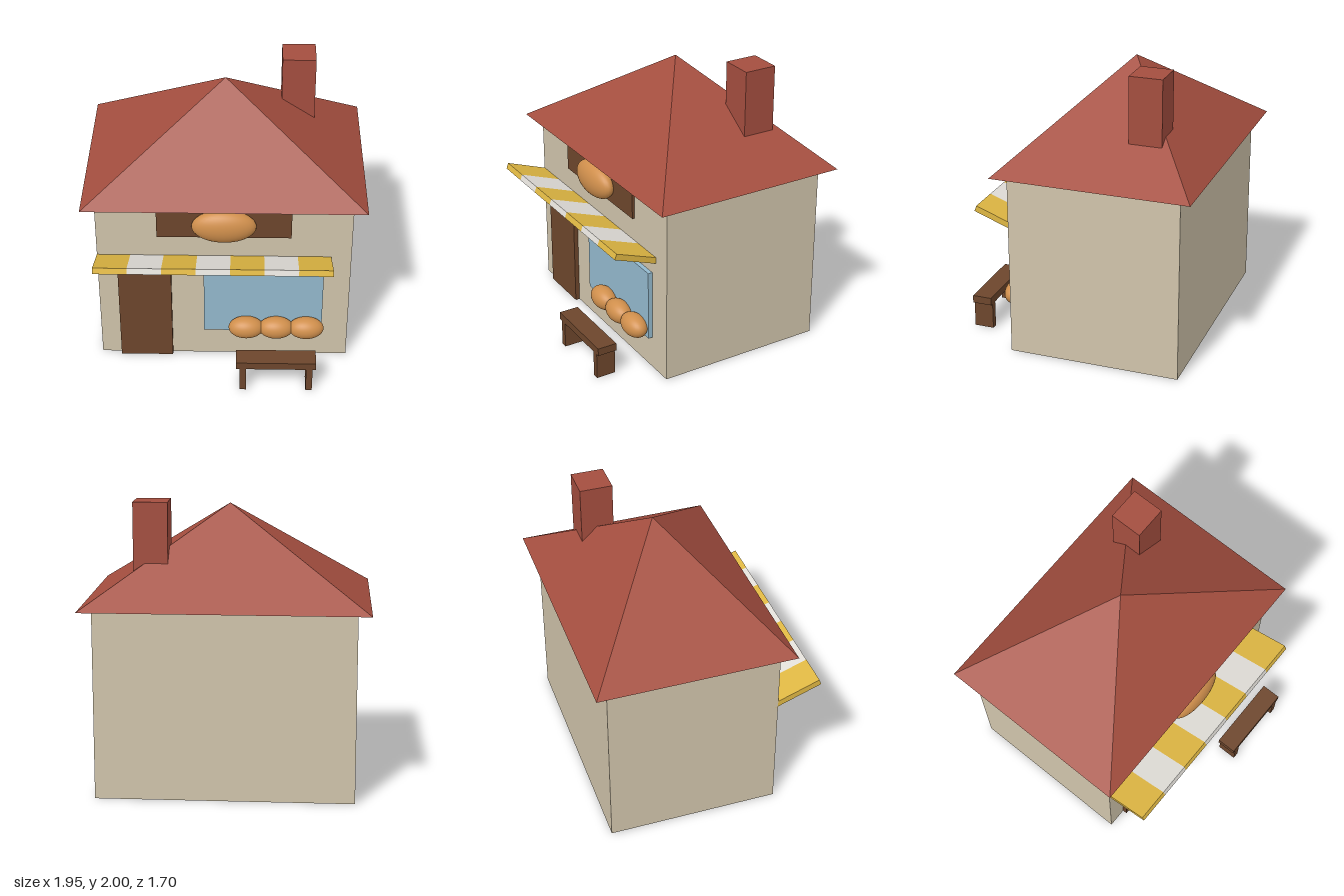
import * as THREE from 'three';

const mat = (name, color) => {
  const m = new THREE.MeshStandardMaterial({ color });
  m.name = name;
  return m;
};

export function createModel() {
  const group = new THREE.Group();
  const plaster = mat('plaster', 0xd0c4ab);
  const tile = mat('roofRed', 0xa44e3f);
  const wood = mat('darkWood', 0x6d462c);
  const glass = mat('glass', 0x93b9cd);
  const yellow = mat('awningYellow', 0xdfb743);
  const white = mat('awningWhite', 0xe2dfd9);
  const crust = mat('breadCrust', 0xd08f4c);

  const add = (name, geometry, material, parent = group) => {
    const mesh = new THREE.Mesh(geometry, material);
    mesh.name = name;
    parent.add(mesh);
    return mesh;
  };
  // Box given by its minimum and maximum on each axis
  const box = (name, material, [x0, x1], [y0, y1], [z0, z1], parent) => {
    const mesh = add(name, new THREE.BoxGeometry(x1 - x0, y1 - y0, z1 - z0), material, parent);
    mesh.position.set((x0 + x1) / 2, (y0 + y1) / 2, (z0 + z1) / 2);
    return mesh;
  };
  // Ellipsoid loaf
  const loaf = (name, x, y, z, rx, ry, rz) => {
    const geometry = new THREE.SphereGeometry(1, 32, 20).scale(rx, ry, rz);
    add(name, geometry, crust).position.set(x, y, z);
  };

  // House body, pyramid roof and chimney
  const wallZ = 0.455;
  box('walls', plaster, [-0.882, 0.882], [0, 1.305], [-0.752, wallZ]);
  const pyramid = new THREE.ConeGeometry(Math.SQRT2, 0.648, 4).toNonIndexed();
  pyramid.rotateY(Math.PI / 4).scale(0.973, 1, 0.695);
  pyramid.computeVertexNormals();
  add('roof', pyramid, tile).position.set(0, 1.629, -0.149);
  box('chimney', tile, [0.392, 0.626], [1.536, 2], [-0.541, -0.31]);

  // Shop front
  box('door', wood, [-0.743, -0.37], [0, 0.745], [0.43, 0.487]);
  box('shopWindow', glass, [-0.142, 0.696], [0.236, 0.745], [0.43, 0.487]);
  box('signBoard', wood, [-0.463, 0.463], [1.05, 1.28], [0.43, 0.472]);
  loaf('signLoaf', 0, 1.165, 0.5, 0.222, 0.123, 0.083);

  // Striped awning, tilted upwards away from the wall
  const awning = new THREE.Group();
  awning.name = 'awning';
  const stripe = 0.232, length = 0.36, thick = 0.043;
  for (let i = 0; i < 7; i++) {
    const x = i * stripe;
    box('awningStripe', i % 2 ? white : yellow, [x, x + stripe], [-thick, 0], [-length, 0], awning);
  }
  awning.position.set(-0.882, 0.991, 0.752);
  awning.rotation.x = -0.355;
  group.add(awning);

  // Loaves on display in front of the window
  for (const x of [0.158, 0.371, 0.584]) loaf('displayLoaf', x, 0.305, 0.535, 0.125, 0.08, 0.08);

  // Bench
  const benchZ = [0.712, 0.852];
  box('benchSeat', wood, [0.09, 0.648], [0.19, 0.245], benchZ);
  for (const x of [0.116, 0.58]) box('benchLeg', wood, [x, x + 0.045], [0, 0.19], benchZ);

  return group;
}
